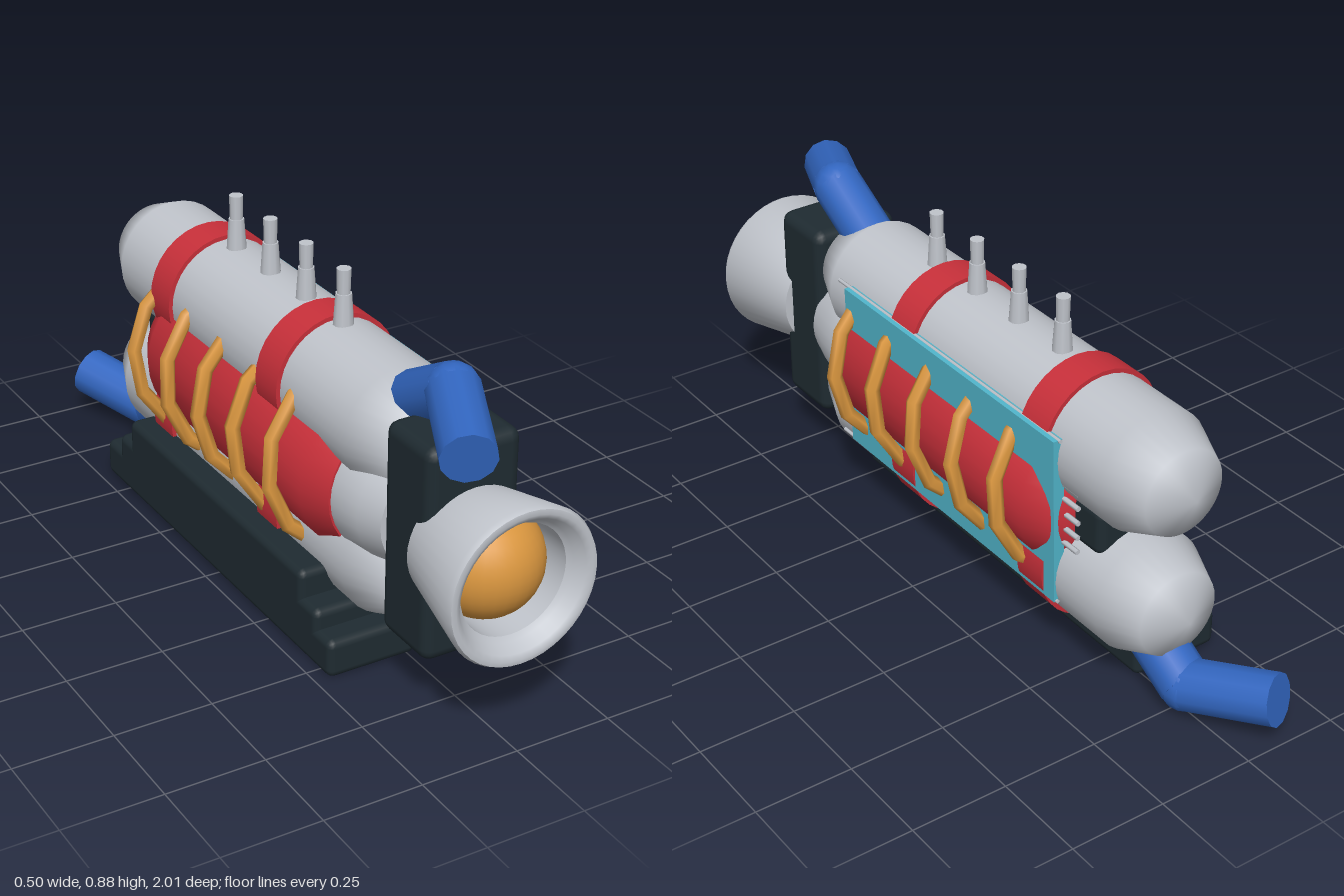
import * as THREE from 'three';
import { toCreasedNormals } from 'three/addons/utils/BufferGeometryUtils.js';
import { RoundedBoxGeometry } from 'three/addons/geometries/RoundedBoxGeometry.js';

const V = (x, y, z) => new THREE.Vector3(x, y, z);

function material(name, color) {
  const m = new THREE.MeshStandardMaterial({ color });
  m.name = name;
  return m;
}

export function createModel() {
  const grey = material('pale grey', 0xc0c4cb);
  const red = material('red', 0xc8303a);
  const orange = material('orange', 0xd9963f);
  const blue = material('blue', 0x3266c0);
  const cyan = material('cyan', 0x52b6cc);
  const dark = material('dark slate', 0x1f2b31);

  const model = new THREE.Group();
  model.name = 'canisterDevice';
  const MID = 0.42;                 // height of the central axis
  const TANKS = { upper: 0.585, lower: 0.25 };

  function add(name, geometry, mat, x = 0, y = 0, z = 0, parent = model) {
    const mesh = new THREE.Mesh(geometry, mat);
    mesh.name = name;
    mesh.position.set(x, y, z);
    parent.add(mesh);
    return mesh;
  }
  // Box given by its limits, with rounded edges
  function block(name, [x0, x1], [y0, y1], [z0, z1], r = 0.02) {
    const g = new RoundedBoxGeometry(x1 - x0, y1 - y0, z1 - z0, 2, r);
    return add(name, g, dark, (x0 + x1) / 2, (y0 + y1) / 2, (z0 + z1) / 2);
  }
  // Solid of revolution along z; profile is [radius, z] pairs from back to front
  function turned(name, profile, mat, segments = 32) {
    const g = new THREE.LatheGeometry(profile.map(([r, z]) => new THREE.Vector2(r, z)), segments);
    g.rotateX(Math.PI / 2);
    return add(name, toCreasedNormals(g, 0.75), mat, 0, MID, 0);
  }
  // Straight cylinder between two points
  function rod(name, a, b, r, mat, sides, parent = model) {
    const d = b.clone().sub(a);
    const mesh = add(name, new THREE.CylinderGeometry(r, r, d.length(), sides), mat, 0, 0, 0, parent);
    mesh.position.copy(a).add(b).multiplyScalar(0.5);
    mesh.quaternion.setFromUnitVectors(V(0, 1, 0), d.normalize());
    return mesh;
  }

  // Twin tanks with their red bands
  for (const [side, y] of Object.entries(TANKS)) {
    add(side + 'Tank', new THREE.CapsuleGeometry(0.156, 1.12, 2, 32).rotateX(Math.PI / 2), grey, 0, y, -0.06);
    for (const z of [0.165, -0.38]) {
      add(side + 'Band', new THREE.CylinderGeometry(0.167, 0.167, 0.098, 32).rotateX(Math.PI / 2), red, 0, y, z);
    }
  }

  // Central core and the collar in front of it
  turned('core', [[0, -0.485], [0.14, -0.48], [0.17, -0.455], [0.203, -0.385],
    [0.203, 0.385], [0.172, 0.465], [0, 0.465]], red);
  turned('collar', [[0, 0.4], [0.165, 0.44], [0.168, 0.48], [0.155, 0.56], [0.135, 0.63], [0, 0.63]], grey);

  // Coil wound around the core
  class Helix extends THREE.Curve {
    getPoint(t, target = V(0, 0, 0)) {
      const a = Math.PI / 3 - t * Math.PI * 2 * 4.85;
      return target.set(Math.cos(a) * 0.23, MID + Math.sin(a) * 0.23, 0.372 + 0.1735 * a / (2 * Math.PI));
    }
  }
  add('coil', new THREE.TubeGeometry(new Helix(), 60, 0.02, 6), orange);

  // Side panel, leaning slightly outward at the top, with edge rods
  add('sidePanel', new THREE.BoxGeometry(0.03, 0.45, 0.88), cyan, 0.149, MID, -0.03).rotation.z = -0.02;
  for (const y of [0.197, 0.643]) {
    rod('panelRod', V(0.152, y, -0.475), V(0.152, y, 0.46), 0.005, grey, 6);
  }
  for (let i = 0; i < 5; i++) {
    const y = 0.36 + i * 0.04;
    rod('contactPin', V(0.135, y, -0.4), V(0.135, y, -0.525), 0.007, grey, 6);
  }

  // Dark housings and stepped base
  block('frontHousing', [-0.122, 0.122], [0.15, 0.69], [0.612, 0.803], 0.03);
  block('rearHousing', [-0.11, 0.11], [0.355, 0.485], [-0.575, -0.42], 0.025);
  block('basePlate', [-0.22, 0.022], [0, 0.1], [-0.617, 0.555]);
  block('baseMiddle', [-0.22, -0.05], [0.06, 0.15], [-0.54, 0.49]);
  block('baseTop', [-0.22, -0.07], [0.11, 0.22], [-0.475, 0.42]);

  // Nozzle with a rounded lip and a glowing ball inside
  turned('nozzle', [[0, 0.75], [0.145, 0.755], [0.196, 0.985], [0.19, 0.998], [0.178, 1],
    [0.165, 0.993], [0.15, 0.965], [0.138, 0.955], [0.136, 0.84], [0, 0.82]], grey, 40);
  add('nozzleBall', new THREE.SphereGeometry(0.138, 32, 20), orange, 0, MID, 0.84);

  // Bent pipes: the rear one is the front one turned about the middle
  const pipePath = [V(0, 0.655, 0.5), V(0, 0.767, 0.7), V(-0.098, 0.722, 0.91)];
  const turn = (p) => V(p.x, 2 * MID - p.y, -0.07 - p.z);
  for (const [name, path] of [['frontPipe', pipePath], ['rearPipe', pipePath.map(turn)]]) {
    const pipe = new THREE.Group();
    pipe.name = name;
    model.add(pipe);
    rod('pipeRoot', path[0], path[1], 0.065, blue, 12, pipe);
    rod('pipeEnd', path[1], path[2], 0.065, blue, 12, pipe);
    add('pipeElbow', new THREE.SphereGeometry(0.065, 12, 8), blue, ...path[1].toArray(), pipe);
  }

  // Row of valves along the top
  for (let i = 0; i < 4; i++) {
    const z = 0.24 - i * 0.172;
    add('valveBase', new THREE.CylinderGeometry(0.02, 0.027, 0.1, 10), grey, 0, 0.768, z);
    add('valveStem', new THREE.CylinderGeometry(0.018, 0.016, 0.08, 10), grey, 0, 0.84, z);
  }

  return model;
}
